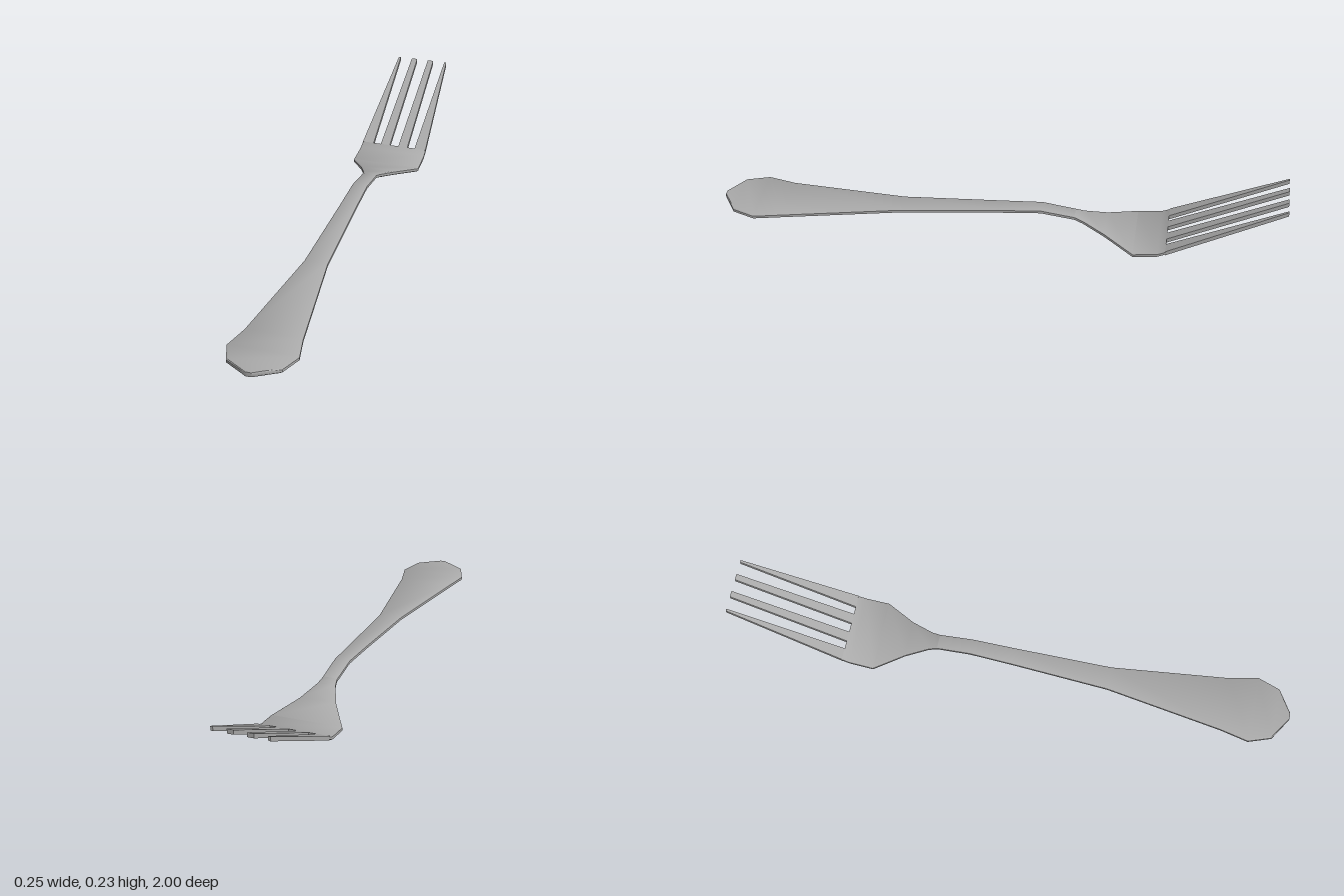
import * as THREE from 'three';
import { toCreasedNormals } from 'three/addons/utils/BufferGeometryUtils.js';

const THICK = 0.016;

// Closed solid through matching rings, listed from front (+z) to back,
// each ring counter-clockwise as seen from the front.
function loft(rings) {
  const n = rings[0].length;
  const pos = [];
  const tri = (a, b, c) => pos.push(...a, ...b, ...c);
  for (let i = 0; i < rings.length - 1; i++) {
    for (let j = 0; j < n; j++) {
      const k = (j + 1) % n;
      const [a, b, c, d] = [rings[i][j], rings[i][k], rings[i + 1][j], rings[i + 1][k]];
      tri(a, c, b);
      tri(b, c, d);
    }
  }
  const first = rings[0], last = rings[rings.length - 1];
  for (let j = 1; j < n - 1; j++) {
    tri(first[0], first[j], first[j + 1]);
    tri(last[0], last[j + 1], last[j]);
  }
  const g = new THREE.BufferGeometry();
  g.setAttribute('position', new THREE.Float32BufferAttribute(pos, 3));
  return toCreasedNormals(g, 0.6);
}

// Flat bar section with slightly bevelled edges
function barRing([z, y, w]) {
  const t = THICK / 2, e = t * 0.6, b = w - Math.min(0.006, w * 0.25);
  return [[b, -t], [w, -e], [w, e], [b, t], [-b, t], [-w, e], [-w, -e], [-b, -t]]
    .map(([px, py]) => [px, y + py, z]);
}

// Plain rectangular section for the tines
function tineRing(z, y, x0, x1) {
  const t = THICK / 2;
  return [[x0, y - t, z], [x1, y - t, z], [x1, y + t, z], [x0, y + t, z]];
}

export function createModel() {
  const model = new THREE.Group();
  model.name = 'fork';
  const steel = new THREE.MeshStandardMaterial({ color: 0xaaaaaa });
  steel.name = 'steel';
  const add = (name, geometry) => {
    const mesh = new THREE.Mesh(geometry, steel);
    mesh.name = name;
    model.add(mesh);
  };

  // Rows of z, centre height, half width
  const neck = [-0.27, 0.069, 0.026];
  add('handle', loft([
    [1.0, 0.019, 0.012], [0.95, 0.018, 0.092], [0.87, 0.017, 0.12], [0.77, 0.017, 0.098],
    [0.35, 0.043, 0.041], [0.0, 0.073, 0.03], [-0.15, 0.085, 0.027], neck,
  ].map(barRing)));
  add('head', loft([
    neck, [-0.3, 0.06, 0.032], [-0.38, 0.036, 0.065],
    [-0.485, 0.008, 0.127], [-0.57, 0.018, 0.126], [-0.597, 0.03, 0.125],
  ].map(barRing)));

  // Two tines on each side: x range at the root, then at the tip
  const tines = [['innerTine', 0.017, 0.053, 0.022, 0.044], ['outerTine', 0.082, 0.125, 0.09, 0.098]];
  for (const [name, r0, r1, t0, t1] of tines) {
    add(name + 'Left', loft([tineRing(-0.597, 0.03, r0, r1), tineRing(-1, 0.224, t0, t1)]));
    add(name + 'Right', loft([tineRing(-0.597, 0.03, -r1, -r0), tineRing(-1, 0.224, -t1, -t0)]));
  }
  return model;
}
